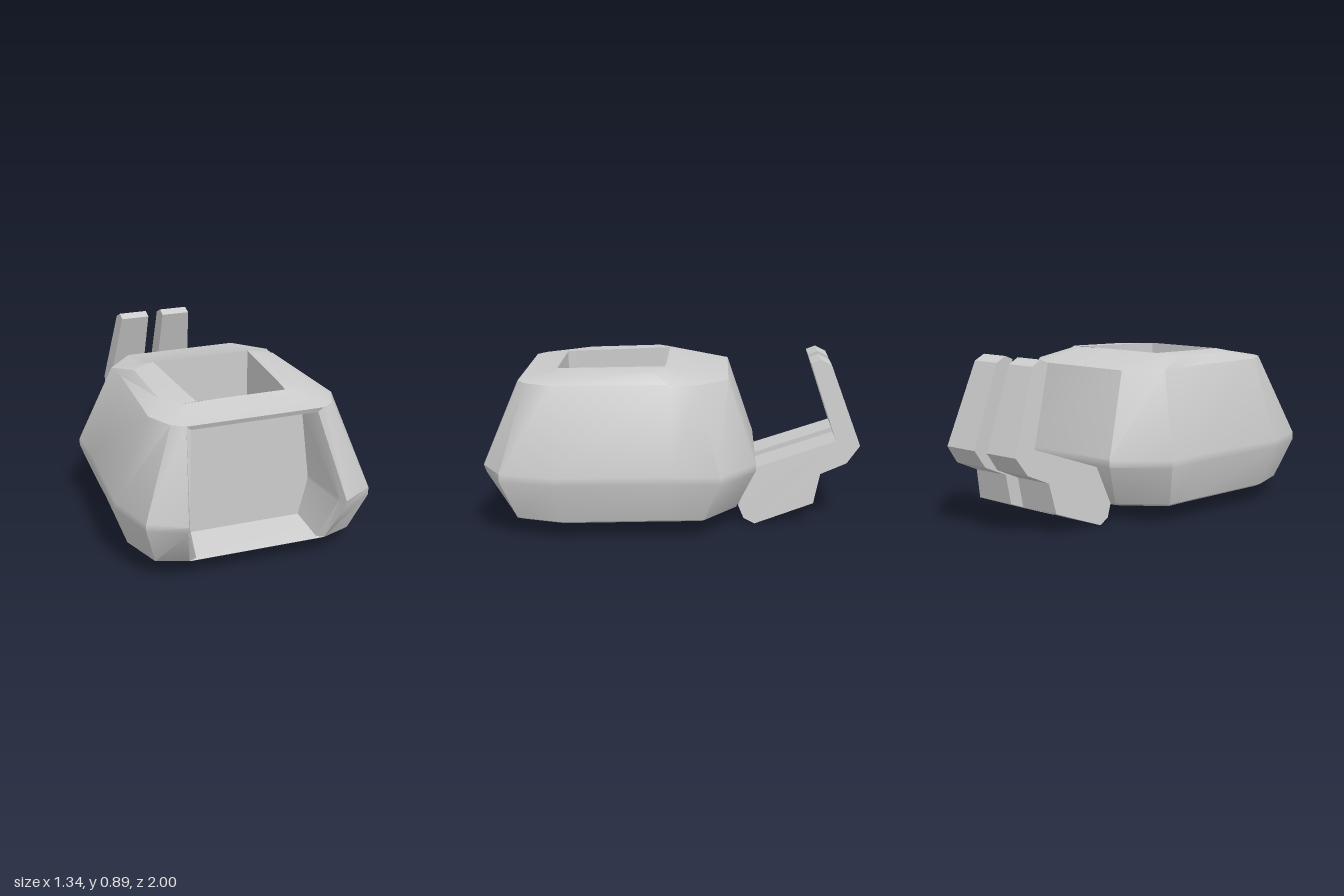
import * as THREE from 'three';
import { toCreasedNormals } from 'three/addons/utils/BufferGeometryUtils.js';

const material = new THREE.MeshStandardMaterial({ color: 0xcccccc });

// Closed loop from one half: [x, y, z] points on +x, then mirrored back on -x
const mirrorLoop = (half) => [...half, ...half.map(([x, y, z]) => [-x, y, z]).reverse()];

// Level ring from [x, z] points running front to back; y is a height or a rule of z
const ring = (y, half) =>
  mirrorLoop(half.map(([x, z]) => [x, typeof y === 'function' ? y(z) : y, z]));

// Quads between two loops; an open band leaves out the closing segment
function band(out, a, b, closed = true) {
  const n = a.length;
  for (let i = 0; i < (closed ? n : n - 1); i++) {
    const j = (i + 1) % n;
    out.push(a[i], a[j], b[j], a[i], b[j], b[i]);
  }
}

// Triangle fan around the middle of a loop
function cap(out, loop, flip = false) {
  const n = loop.length;
  const mid = [0, 1, 2].map((k) => loop.reduce((s, p) => s + p[k], 0) / n);
  loop.forEach((p, i) => {
    const q = loop[(i + 1) % n];
    out.push(mid, ...(flip ? [q, p] : [p, q]));
  });
}

function meshFrom(name, triangles, crease) {
  const geo = new THREE.BufferGeometry();
  geo.setAttribute('position', new THREE.Float32BufferAttribute(triangles.flat(), 3));
  const mesh = new THREE.Mesh(toCreasedNormals(geo, crease), material);
  mesh.name = name;
  return mesh;
}

// Outer shell with an open front and a deep square socket in the top
const belly = [[0.37, 0.87], [0.53, 0.81], [0.6, 0.57], [0.55, 0], [0.54, -0.17], [0.31, -0.34]];
const waist = [[0.42, 1], [0.6, 0.89], [0.67, 0.6], [0.62, 0], [0.62, -0.25], [0.36, -0.44]];
const shoulder = [[0.365, 0.815], [0.43, 0.77], [0.495, 0.63], [0.45, 0.02], [0.46, -0.12], [0.31, -0.29]];
const crown = [[0.27, 0.64], [0.34, 0.61], [0.4, 0.5], [0.4, 0.1], [0.35, 0.05], [0.27, 0.03]];
const socket = [[0.15, 0.62], [0.24, 0.62], [0.25, 0.5], [0.27, 0.08], [0.275, 0.04], [0.15, 0.04]];

function shell() {
  const t = [];
  const base = ring(0.085, belly.map(([x, z]) => [x * 0.95, 0.26 + (z - 0.26) * 0.96]));
  const low = ring(0.1, belly);
  const midLow = ring(0.315, waist.map(([x, z]) => [x, z - (z > 0.9 ? 0.015 : 0)]));
  const midHigh = ring(0.355, waist);
  const top = ring(0.8, shoulder);
  const crest = ring((z) => 0.855 - 0.035 * (z - 0.05), crown);
  const rim = ring((z) => 0.862 - 0.035 * (z - 0.05), socket);
  const floor = ring(0.1, socket);
  cap(t, base, true);
  band(t, base, low);
  band(t, low, midLow, false);
  band(t, midLow, midHigh, false);
  band(t, midHigh, top, false);
  band(t, top, crest);
  band(t, crest, rim);
  band(t, rim, floor);
  cap(t, floor);
  return meshFrom('shell', t, 0.6);
}

// Front opening: narrow lip, tapering walls and a flat screen set back inside
function screenRecess() {
  const edge = mirrorLoop([[0.37, 0.1, 0.87], [0.42, 0.315, 0.985], [0.42, 0.355, 1], [0.365, 0.8, 0.815]]);
  const lip = mirrorLoop([[0.33, 0.105, 0.855], [0.4, 0.335, 0.95], [0.4, 0.355, 0.955], [0.338, 0.775, 0.805]]);
  const screen = mirrorLoop([[0.315, 0.145, 0.66], [0.365, 0.34, 0.66], [0.365, 0.36, 0.66], [0.318, 0.74, 0.66]]);
  const frame = [];
  band(frame, edge, lip);
  band(frame, lip, screen);
  const panel = [];
  cap(panel, screen);
  const group = new THREE.Group();
  group.name = 'screenRecess';
  group.add(meshFrom('screenFrame', frame, 0.3), meshFrom('screenPanel', panel, 0.3));
  return group;
}

// Round foot under the belly
function foot() {
  const geo = new THREE.CylinderGeometry(0.38, 0.38, 0.05, 16);
  const mesh = new THREE.Mesh(geo, material);
  mesh.name = 'foot';
  mesh.position.set(0, 0.07, 0.26);
  return mesh;
}

// Bent rear arm: side profile as [distance behind centre, height], narrowing upwards
const armProfile = [[0.35, 0.1], [0.38, 0.03], [0.44, 0], [0.755, 0.115], [0.79, 0.275], [0.93, 0.335],
  [1, 0.43], [0.84, 0.86], [0.78, 0.89], [0.73, 0.87], [0.87, 0.455], [0.435, 0.305]];

function arm(side) {
  const shape = new THREE.Shape(armProfile.map(([u, v]) => new THREE.Vector2(u, v)));
  const geo = new THREE.ExtrudeGeometry(shape, { depth: 1, bevelEnabled: false });
  geo.rotateY(Math.PI / 2);
  const pos = geo.attributes.position;
  for (let i = 0; i < pos.count; i++) {
    const w = side > 0 ? pos.getX(i) : 1 - pos.getX(i);
    pos.setX(i, side * (0.045 + w * (0.25 - 0.1 * pos.getY(i))));
  }
  geo.computeVertexNormals();
  const mesh = new THREE.Mesh(geo, material);
  mesh.name = side > 0 ? 'leftRearArm' : 'rightRearArm';
  return mesh;
}

export function createModel() {
  const model = new THREE.Group();
  model.name = 'pod';
  model.add(shell(), screenRecess(), foot(), arm(1), arm(-1));
  return model;
}
